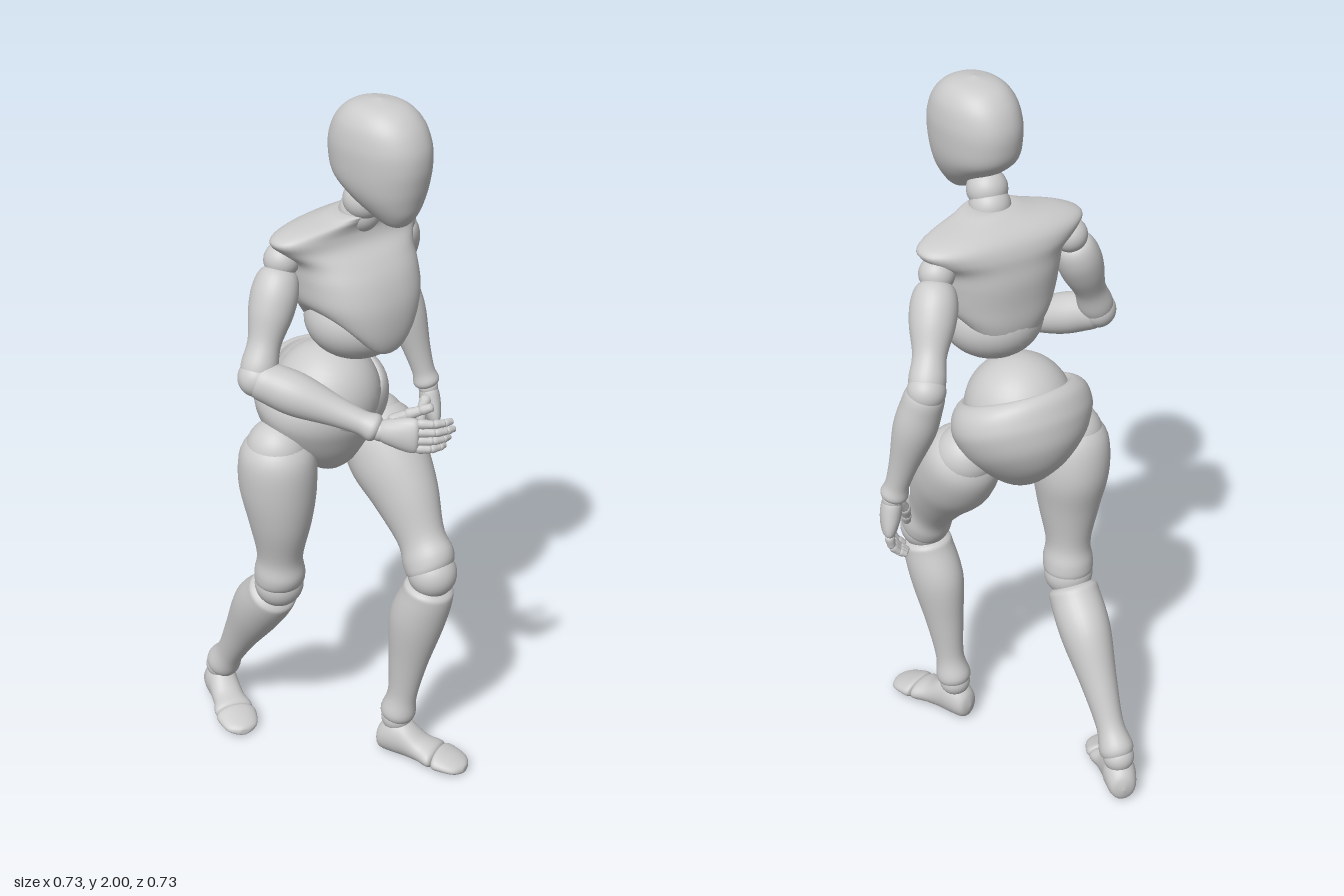
import * as THREE from 'three';

const V = (x, y, z) => new THREE.Vector3(x, y, z);
const material = new THREE.MeshStandardMaterial({ color: 0xcccccc });

// Right-handed frame: Y along the part, Z close to its front
function frame(axis, front) {
  const Y = axis.clone().normalize();
  const X = Y.clone().cross(front).normalize();
  return { X, Y, Z: X.clone().cross(Y) };
}

// Smooth loft of rounded sections from A to B, closed at both ends; power below 1 makes them squarer.
// Section: [t along A-B, offset to the front, half width, half depth, lift at the sides]
function loft(name, A, B, front, sections, rings = 36, sides = 32, power = 1) {
  const axis = B.clone().sub(A), len = axis.length();
  const { X, Y, Z } = frame(axis, front);
  const spline = (f) => new THREE.CatmullRomCurve3(sections.map(f), false, 'catmullrom', 0.5);
  const place = spline((s) => V(s[0], s[1], s[4] || 0));
  const size = spline((s) => V(s[2], s[3], 0));
  const rounded = (c) => Math.sign(c) * Math.abs(c) ** power;
  const pos = [], index = [];
  for (let i = 0; i <= rings; i++) {
    const p = place.getPoint(i / rings), q = size.getPoint(i / rings);
    const open = i > 0 && i < rings;
    const w = open ? Math.max(q.x, 0.0005) : 0, d = open ? Math.max(q.y, 0.0005) : 0;
    for (let j = 0; j < sides; j++) {
      const a = (j / sides) * Math.PI * 2, c = Math.cos(a);
      const v = A.clone().addScaledVector(Y, p.x * len + p.z * c * c)
        .addScaledVector(X, w * rounded(c)).addScaledVector(Z, p.y + d * rounded(Math.sin(a)));
      pos.push(v.x, v.y, v.z);
      if (i === rings) continue;
      const k = (j + 1) % sides, r = i * sides, n = r + sides;
      index.push(r + j, n + j, r + k, n + j, n + k, r + k);
    }
  }
  const g = new THREE.BufferGeometry();
  g.setAttribute('position', new THREE.Float32BufferAttribute(pos, 3));
  g.setIndex(index);
  g.computeVertexNormals();
  const mesh = new THREE.Mesh(g, material);
  mesh.name = name;
  return mesh;
}

function ball(name, p, r, squash = 1) {
  const mesh = new THREE.Mesh(new THREE.SphereGeometry(r, 32, 24), material);
  mesh.name = name;
  mesh.position.copy(p);
  mesh.scale.y = squash;
  return mesh;
}

function group(name, ...parts) {
  const g = new THREE.Group();
  g.name = name;
  g.add(...parts);
  return g;
}

// Head and chest use real heights as t
function upright(name, x, z, front, power, sections) {
  return loft(name, V(x, 0, z), V(x, 1, z), front, sections, 56, 48, power);
}

function hand(side, wrist, dir, back, thumbSide) {
  const { X, Y, Z } = frame(dir, back);
  const at = (x, y, z) => wrist.clone().addScaledVector(X, x).addScaledVector(Y, y).addScaledVector(Z, z);
  const g = group(side + 'Hand', loft('palm', wrist, at(0, 0.1, 0), back, [
    [-0.1, 0, 0.005, 0.005], [0, 0, 0.026, 0.024], [0.35, 0, 0.038, 0.029],
    [0.75, 0, 0.047, 0.025], [0.98, 0, 0.043, 0.018], [1.05, 0, 0.015, 0.006]], 18, 20));
  // A chain of rounded finger joints, curling toward the palm
  const digit = (name, start, heading, lengths, radius, curls) => {
    let p = start;
    lengths.forEach((l, i) => {
      const next = p.clone().addScaledVector(heading, Math.cos(curls[i]) * l).addScaledVector(Z, -Math.sin(curls[i]) * l);
      const r = radius * (1 - 0.1 * i);
      g.add(loft(name, p, next, X.clone().add(Z), [
        [-0.15, 0, 0.001, 0.001], [0, 0, r * 0.85, r * 0.85], [0.3, 0, r, r],
        [0.75, 0, r * 0.85, r * 0.85], [1, 0, r * 0.8, r * 0.8], [1.15, 0, 0.001, 0.001]], 10, 10));
      p = next;
    });
  };
  for (let i = 0; i < 4; i++) {
    const k = 1 - 0.1 * Math.abs(i - 1);
    digit('finger', at(thumbSide * (0.034 - 0.0225 * i), 0.098, 0), Y,
      [0.043 * k, 0.033 * k, 0.027 * k], 0.013, [0.3, 0.7 + i * 0.06, 1.0 + i * 0.08]);
  }
  const heading = Y.clone().multiplyScalar(0.92).addScaledVector(X, thumbSide * 0.38).normalize();
  digit('thumb', at(thumbSide * 0.022, 0.02, -0.014), heading, [0.045, 0.038, 0.032], 0.017, [0.6, 0.25, 0.15]);
  return g;
}

function arm(side, shoulder, elbow, wrist, front, handDir, handBack, thumbSide) {
  return group(side + 'Arm',
    ball('shoulderJoint', shoulder, 0.047),
    loft('upperArm', shoulder, elbow, front, [
      [0.04, 0, 0.005, 0.005], [0.1, 0, 0.045, 0.045], [0.25, 0, 0.06, 0.062], [0.45, 0, 0.058, 0.06],
      [0.7, 0, 0.043, 0.045], [0.9, 0, 0.048, 0.048], [0.99, 0, 0.04, 0.04], [1.05, 0, 0.005, 0.005]]),
    ball('elbowJoint', elbow, 0.05),
    loft('forearm', elbow, wrist, front, [
      [-0.06, 0, 0.005, 0.005], [0, 0, 0.046, 0.046], [0.15, 0, 0.055, 0.055], [0.35, 0, 0.056, 0.056],
      [0.65, 0, 0.039, 0.039], [0.85, 0, 0.032, 0.032], [0.96, 0, 0.036, 0.036], [1.02, 0, 0.005, 0.005]]),
    ball('wristJoint', wrist, 0.028),
    hand(side, wrist, handDir, handBack, thumbSide));
}

function leg(side, hip, knee, ankle, front, heel, toe) {
  const up = V(0, 1, 0);
  return group(side + 'Leg',
    ball('hipJoint', hip, 0.085),
    loft('thigh', hip, knee, front, [
      [-0.14, 0, 0.01, 0.01], [-0.1, 0, 0.06, 0.06], [0.02, 0, 0.1, 0.103], [0.25, 0, 0.104, 0.113],
      [0.5, 0.01, 0.085, 0.094], [0.76, 0.008, 0.062, 0.069], [0.9, 0.006, 0.069, 0.075],
      [0.99, 0, 0.062, 0.062], [1.04, 0, 0.01, 0.01]]),
    ball('kneeJoint', knee, 0.068),
    loft('shin', knee, ankle, front, [
      [0.04, 0, 0.005, 0.005], [0.08, 0, 0.062, 0.06], [0.14, 0, 0.071, 0.073], [0.33, -0.012, 0.071, 0.08],
      [0.6, -0.008, 0.051, 0.058], [0.83, 0, 0.039, 0.043], [0.97, 0, 0.048, 0.05], [1.04, 0, 0.01, 0.01]]),
    ball('ankleJoint', ankle, 0.044),
    loft('foot', heel, toe, up, [
      [-0.02, 0.045, 0.005, 0.01], [0.03, 0.047, 0.035, 0.042], [0.18, 0.06, 0.046, 0.06],
      [0.32, 0.056, 0.045, 0.056], [0.5, 0.038, 0.047, 0.037], [0.66, 0.03, 0.055, 0.028], [0.69, 0.028, 0.01, 0.01]]),
    loft('toes', heel, toe, up, [
      [0.67, 0.028, 0.01, 0.01], [0.7, 0.028, 0.055, 0.027], [0.82, 0.024, 0.056, 0.023],
      [0.94, 0.018, 0.044, 0.017], [1, 0.014, 0.02, 0.011], [1.01, 0.012, 0.002, 0.002]]));
}

export function createModel() {
  const chestFront = V(0.59, 0, 0.81), hipFront = V(0.6, 0, 0.8), headFront = V(0.64, 0, 0.77);
  const model = group('mannequin');

  // Head and neck
  model.add(upright('head', 0.102, 0.105, headFront, 0.93, [
    [1.68, 0.06, 0.002, 0.002], [1.688, 0.057, 0.03, 0.032], [1.72, 0.042, 0.058, 0.072],
    [1.76, 0.02, 0.083, 0.108], [1.8, 0.003, 0.097, 0.135], [1.85, 0, 0.103, 0.145],
    [1.9, -0.001, 0.103, 0.141], [1.95, -0.002, 0.091, 0.117], [1.985, -0.003, 0.06, 0.074], [2, -0.003, 0.002, 0.002]]));
  model.add(ball('neckJoint', V(0.068, 1.715, 0.052), 0.054));
  model.add(ball('neck', V(0.06, 1.675, 0.035), 0.055));

  // Chest shell, cut higher at the sides, over a rounded abdomen
  model.add(upright('chest', 0.055, 0.02, chestFront, 0.88, [
    [1.42, 0, 0.002, 0.002], [1.35, 0, 0.1, 0.1, 0.07], [1.315, 0.005, 0.116, 0.124, 0.11],
    [1.345, 0.008, 0.14, 0.138, 0.085], [1.4, 0.004, 0.157, 0.148, 0.045], [1.46, 0, 0.168, 0.147, 0.01],
    [1.52, -0.012, 0.174, 0.138], [1.565, -0.026, 0.182, 0.12], [1.6, -0.042, 0.218, 0.1],
    [1.63, -0.042, 0.24, 0.088], [1.652, -0.03, 0.2, 0.078], [1.67, -0.008, 0.115, 0.065],
    [1.682, 0.01, 0.06, 0.052], [1.678, 0.015, 0.002, 0.002]]));
  model.add(ball('abdomen', V(0.055, 1.375, 0.012), 0.137, 0.82));

  // Waist and forward-tilted pelvis
  model.add(ball('waist', V(-0.018, 1.128, -0.038), 0.146));
  const base = V(-0.035, 1.08, -0.072);
  model.add(loft('pelvis', base, base.clone().add(V(0.22, 0.91, 0.3).normalize()), hipFront, [
    [-0.165, 0.06, 0.005, 0.005], [-0.153, 0.055, 0.045, 0.06], [-0.11, 0.03, 0.105, 0.118], [-0.05, 0.01, 0.163, 0.152],
    [0.01, 0, 0.194, 0.164], [0.05, -0.003, 0.198, 0.164], [0.085, -0.006, 0.184, 0.156],
    [0.105, -0.004, 0.155, 0.14], [0.095, 0, 0.125, 0.118], [0.08, 0, 0.005, 0.005]], 48, 48));

  model.add(arm('right', V(-0.143, 1.572, 0.085), V(-0.218, 1.295, 0.19), V(0.085, 1.185, 0.3),
    V(0.3, 0, 0.9), V(0.91, 0.0, 0.42), V(-0.3, 0.1, 0.95), -1));
  model.add(arm('left', V(0.182, 1.572, -0.145), V(0.198, 1.335, -0.322), V(0.295, 0.99, -0.295),
    V(0.6, 0, 0.8), V(0.14, -1, 0.04), V(0.96, 0, -0.15), 1));

  model.add(leg('right', V(-0.157, 1.0, 0.035), V(-0.155, 0.56, 0.005), V(-0.31, 0.118, -0.258),
    V(0.35, 0, 0.93), V(-0.328, 0, -0.315), V(-0.258, 0, -0.053)));
  model.add(leg('left', V(0.12, 1.0, -0.09), V(0.256, 0.63, 0.112), V(0.172, 0.118, 0.055),
    V(0.75, 0, 0.66), V(0.128, 0, 0.03), V(0.352, 0, 0.185)));
  return model;
}
